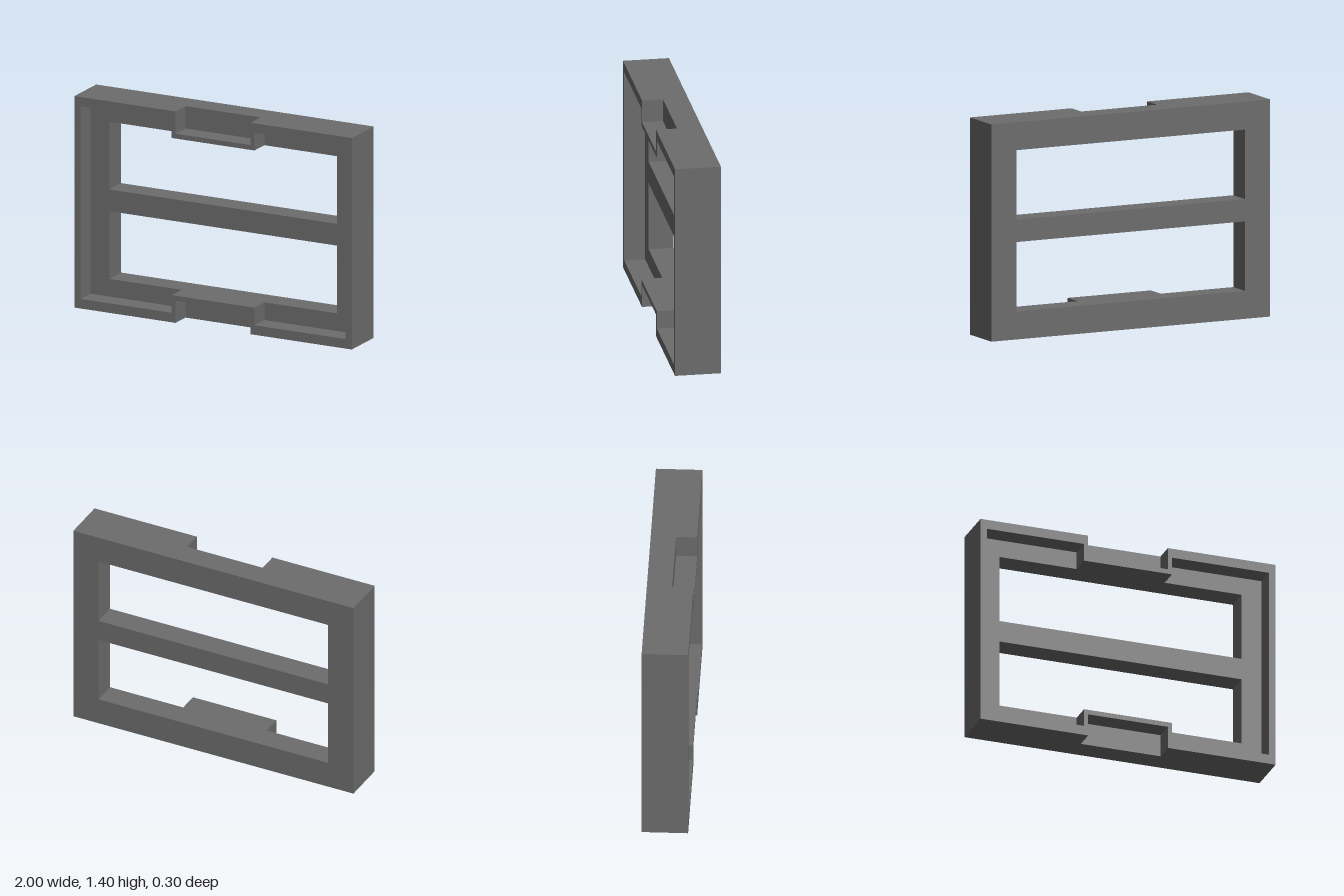
import * as THREE from 'three';

const H = 1.402;          // overall height
const BACK = -0.148, STEP = 0.013, FRONT = 0.148; // z of back face, recess floor, front rim

const material = new THREE.MeshStandardMaterial({ color: 0x6c6c6c });

const toPoints = (list) => list.map(([x, y]) => new THREE.Vector2(x, y));

const rect = (x, y0, y1) => toPoints([[-x, y0], [x, y0], [x, y1], [-x, y1]]);

// Rectangle whose top and bottom edges step inward around the centre
function steppedRect(x, y, stepX, stepY) {
  const half = [[-x, y], [-stepX, y], [-stepX, stepY], [stepX, stepY], [stepX, y], [x, y]];
  const upper = half.map(([px, py]) => [-px, H - py]);
  return toPoints([...half, ...upper]);
}

function slab(name, outline, holes, z0, z1) {
  const shape = new THREE.Shape(outline);
  shape.holes = holes.map((h) => new THREE.Path(h));
  const geometry = new THREE.ExtrudeGeometry(shape, { depth: z1 - z0, bevelEnabled: false });
  geometry.translate(0, 0, z0);
  const mesh = new THREE.Mesh(geometry, material);
  mesh.name = name;
  return mesh;
}

export function createModel() {
  const group = new THREE.Group();
  group.name = 'windowFrame';

  // Back plate with two openings separated by a crossbar
  const windows = [rect(0.82, 0.18, 0.629), rect(0.82, H - 0.629, H - 0.18)];
  group.add(slab('backPlate', rect(1, 0, H), windows, BACK, STEP));

  // Thin raised rim, jogging inward around the top and bottom notches
  const outer = steppedRect(1, 0, 0.27, 0.148);
  const inner = steppedRect(0.955, 0.063, 0.298, 0.18);
  group.add(slab('frontRim', outer, [inner], STEP, FRONT));

  return group;
}
